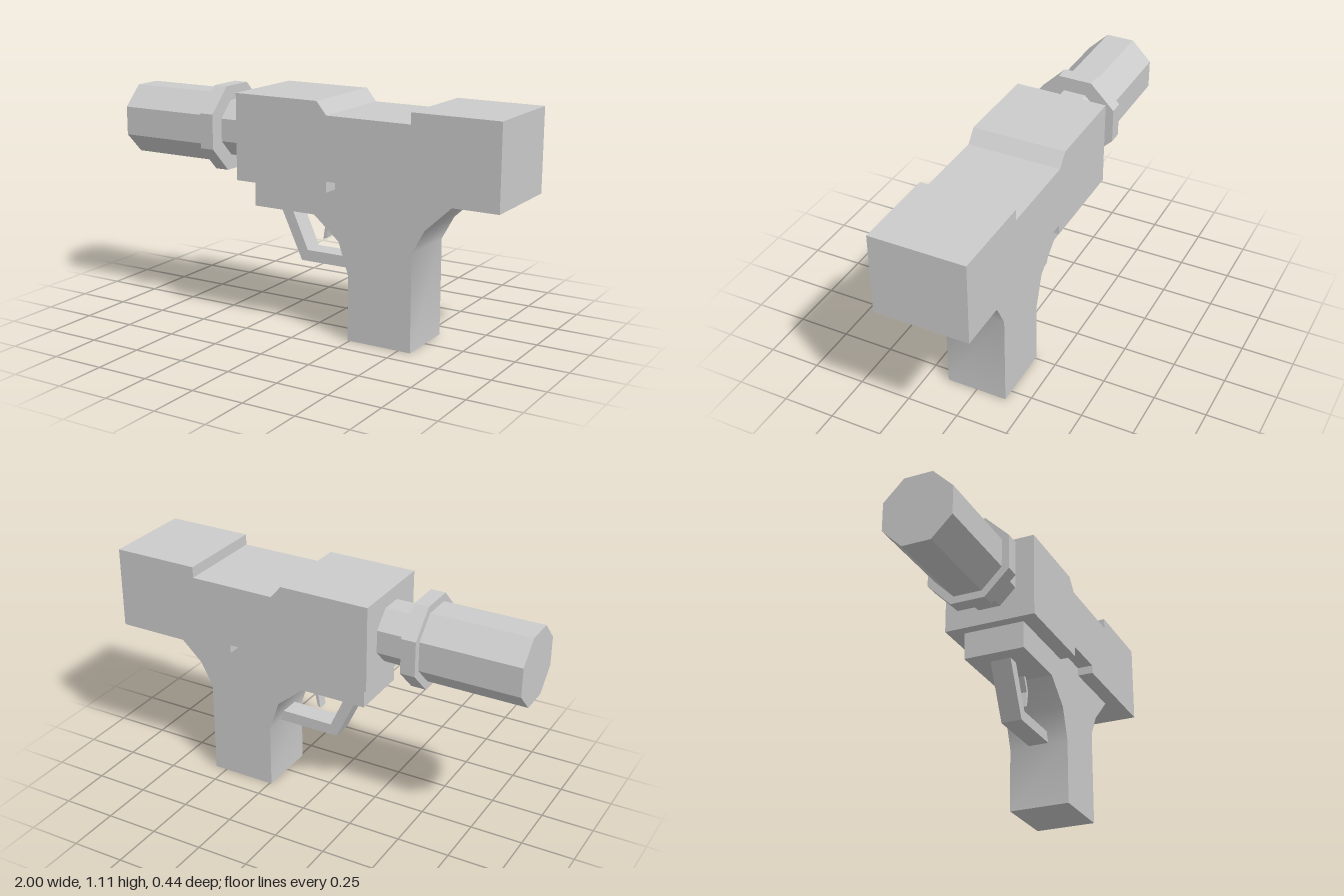
import * as THREE from 'three';
import { toCreasedNormals } from 'three/addons/utils/BufferGeometryUtils.js';

export function createModel() {
  const group = new THREE.Group();
  const material = new THREE.MeshStandardMaterial({ color: 0xcccccc });

  function add(name, geometry) {
    const mesh = new THREE.Mesh(geometry, material);
    mesh.name = name;
    group.add(mesh);
  }

  // Side profile in x/y, extruded evenly about z = 0
  function slab(name, points, width, crease = 0.1) {
    const shape = new THREE.Shape(points.map(([x, y]) => new THREE.Vector2(x, y)));
    const geometry = new THREE.ExtrudeGeometry(shape, { depth: width, bevelEnabled: false });
    geometry.translate(0, 0, -width / 2);
    add(name, toCreasedNormals(geometry, crease));
  }

  // Eight-sided bar along x with flats on top and bottom
  function octagon(name, x0, x1, halfHeight) {
    const r = halfHeight / Math.cos(Math.PI / 8);
    const geometry = new THREE.CylinderGeometry(r, r, x1 - x0, 8);
    geometry.rotateY(Math.PI / 8).rotateZ(Math.PI / 2);
    geometry.translate((x0 + x1) / 2, 0.905, 0);
    add(name, toCreasedNormals(geometry, 0.1));
  }

  // Upper body with stepped top and a notch underneath
  slab('upperBody', [
    [-0.31, 0.7], [0.17, 0.7], [0.17, 0.75], [0.395, 0.75], [0.395, 0.71], [1, 0.71],
    [1, 1.097], [0.585, 1.097], [0.585, 1.045], [0.17, 1.045], [0.12, 1.105], [-0.31, 1.105],
  ], 0.445);

  // Lower frame and grip in one piece, softly curved at the back
  slab('frameAndGrip', [
    [-0.26, 0.57], [0.06, 0.57], [0.19, 0.46], [0.24, 0.31], [0.24, 0], [0.56, 0],
    [0.56, 0.46], [0.62, 0.57], [0.77, 0.71], [0.77, 0.755], [-0.26, 0.755],
  ], 0.295, 0.55);

  // Guard loop and trigger
  slab('triggerGuard', [
    [-0.19, 0.575], [-0.067, 0.312], [0.245, 0.312], [0.245, 0.365], [-0.035, 0.365], [-0.13, 0.575],
  ], 0.1);
  slab('trigger', [
    [0.015, 0.575], [0.047, 0.5], [0.035, 0.422], [0.05, 0.432], [0.065, 0.505], [0.037, 0.575],
  ], 0.05);

  // Barrel sections
  octagon('barrelNeck', -0.47, -0.3, 0.13);
  octagon('barrelCollar', -0.53, -0.46, 0.2);
  octagon('barrel', -1, -0.52, 0.165);

  return group;
}
